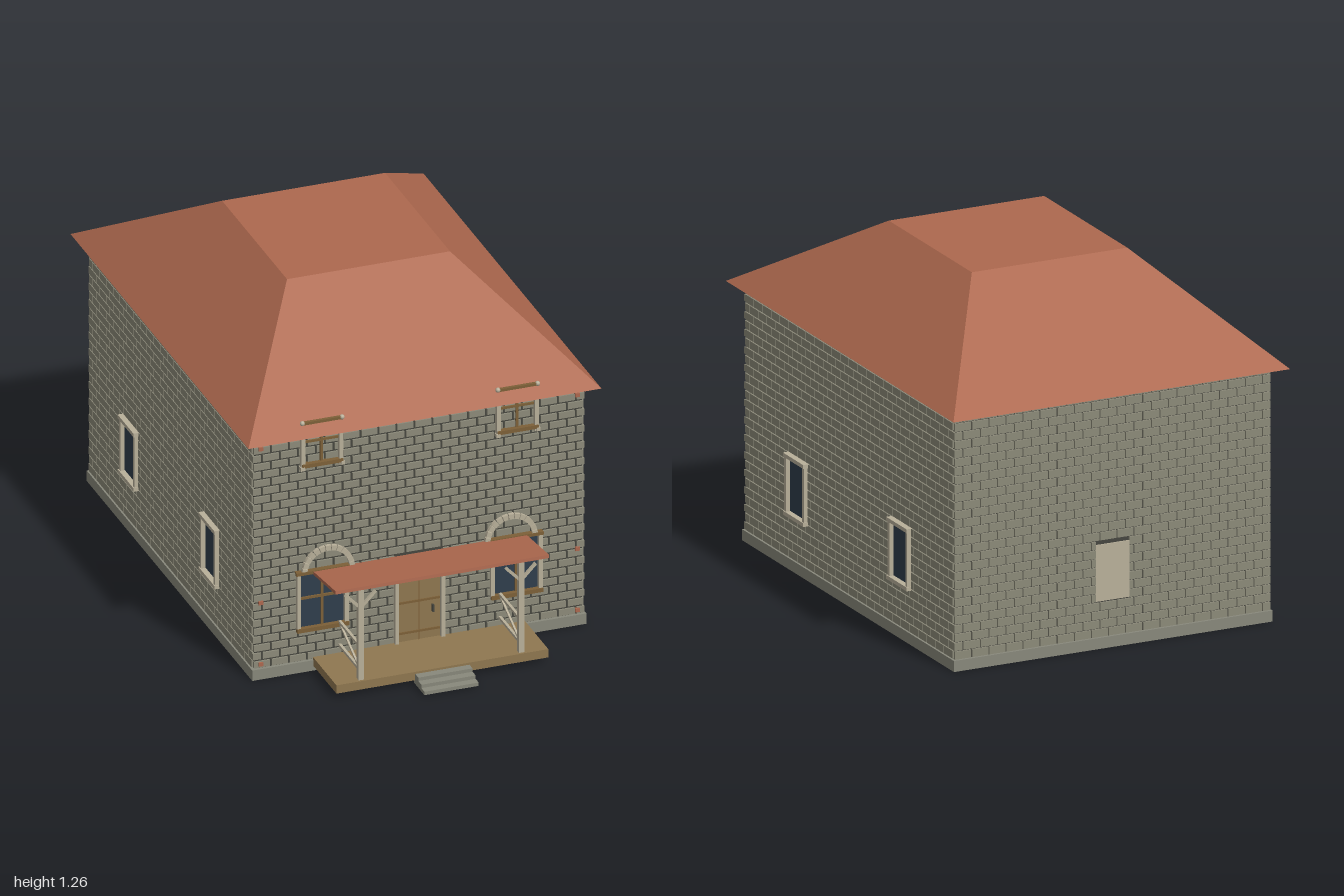
import * as THREE from 'three';
import { mergeGeometries } from 'three/addons/utils/BufferGeometryUtils.js';

const paint = (name, color) => {
  const m = new THREE.MeshStandardMaterial({ color });
  m.name = name;
  return m;
};

export function createModel() {
  const house = new THREE.Group();
  house.name = 'house';
  const brick = paint('stone brick', 0x8c8a79);
  const mortar = paint('dark mortar', 0x46463f);
  const plinth = paint('grey stone', 0x88887b);
  const cream = paint('pale trim', 0xb9b09a);
  const brown = paint('brown timber', 0x7d6038);
  const doorWood = paint('door wood', 0x8f7750);
  const glass = paint('dark glass', 0x2f3e4c);
  const red = paint('red roof', 0xad684e);

  // Box given by its extents
  const box = (name, mat, x0, x1, y0, y1, z0, z1, parent = house) => {
    const m = new THREE.Mesh(new THREE.BoxGeometry(x1 - x0, y1 - y0, z1 - z0), mat);
    m.position.set((x0 + x1) / 2, (y0 + y1) / 2, (z0 + z1) / 2);
    m.name = name;
    parent.add(m);
    return m;
  };
  // Square beam between two points
  const beam = (name, mat, a, b, t) => {
    const p = new THREE.Vector3(...a), q = new THREE.Vector3(...b);
    const m = new THREE.Mesh(new THREE.BoxGeometry(t, t, p.distanceTo(q)), mat);
    m.position.copy(p).lerp(q, 0.5);
    m.lookAt(q);
    m.name = name;
    house.add(m);
  };

  // Body and foundation
  const HX = 0.61, ZF = 0.68, ZB = -0.93, ZC = (ZF + ZB) / 2, D = 0.007;
  box('wallCore', mortar, -HX + D, HX - D, 0.02, 0.93, ZB + D, ZF - D);
  box('foundation', plinth, -0.615, 0.615, 0, 0.04, ZB - 0.005, ZF + 0.005);

  // One wall of running-bond bricks, cut around rectangular openings [u0, u1, y0, y1]
  function brickWall(name, half, length, gap, openings) {
    const rows = 28, y0 = 0.04, h = 0.89 / rows, parts = [];
    for (let r = 0; r < rows; r++) {
      const a = y0 + r * h + gap / 2, b = y0 + (r + 1) * h - gap / 2;
      for (let u = -half - (r % 2) * length / 2; u < half; u += length) {
        let spans = [[Math.max(u + gap / 2, -half), Math.min(u + length - gap / 2, half)]];
        for (const [o0, o1, p0, p1] of openings) {
          if (b <= p0 || a >= p1) continue;
          spans = spans.flatMap(([s, e]) => [[s, Math.min(e, o0)], [Math.max(s, o1), e]]);
        }
        for (const [s, e] of spans) {
          if (e - s < 0.004) continue;
          parts.push(new THREE.BoxGeometry(e - s, b - a, 0.01)
            .translate((s + e) / 2, (a + b) / 2, -0.005));
        }
      }
    }
    const g = new THREE.Group();
    g.name = name;
    const m = new THREE.Mesh(mergeGeometries(parts), brick);
    m.name = name + 'Bricks';
    g.add(m);
    house.add(g);
    return g;
  }
  const front = brickWall('frontWall', HX, 0.066, 0.008, [
    [-0.45, -0.265, 0.165, 0.385], [0.265, 0.45, 0.165, 0.385], [-0.09, 0.09, 0.04, 0.38]]);
  front.position.z = ZF;
  const back = brickWall('backWall', HX, 0.066, 0.004, [[-0.065, 0.065, 0.17, 0.375]]);
  back.position.z = ZB;
  back.rotation.y = Math.PI;
  box('backPanel', cream, -0.065, 0.065, 0.17, 0.375, -0.008, -0.002, back);

  // Side walls, each with two framed windows
  for (const s of [1, -1]) {
    const us = [0.27, -0.52].map(z => -s * (z - ZC));
    const wall = brickWall(s > 0 ? 'leftWall' : 'rightWall', 0.795, 0.066, 0.004,
      us.map(u => [u - 0.07, u + 0.07, 0.205, 0.41]));
    wall.position.set(s * HX, 0, ZC);
    wall.rotation.y = s * Math.PI / 2;
    for (const u of us) {
      box('sideGlass', glass, u - 0.065, u + 0.065, 0.21, 0.41, -0.008, -0.002, wall);
      for (const e of [-1, 1]) {
        const c = u + e * 0.068;
        box('sideWindowJamb', cream, c - 0.007, c + 0.007, 0.2, 0.415, -0.008, 0.014, wall);
        const y = e > 0 ? 0.413 : 0.202;
        box('sideWindowRail', cream, u - 0.078, u + 0.078, y - 0.007, y + 0.007, -0.008, 0.018, wall);
      }
    }
  }

  // Hipped roof with a flat top: a box whose upper corners are drawn in
  const roofGeo = new THREE.BoxGeometry(1.3, 0.33, 1.74).toNonIndexed();
  const pos = roofGeo.attributes.position;
  for (let i = 0; i < pos.count; i++) {
    if (pos.getY(i) < 0) continue;
    pos.setX(i, Math.sign(pos.getX(i)) * 0.3);
    pos.setZ(i, Math.sign(pos.getZ(i)) * 0.3175);
  }
  roofGeo.computeVertexNormals();
  const roof = new THREE.Mesh(roofGeo, red);
  roof.name = 'roof';
  roof.position.set(0, 1.095, -0.13);
  house.add(roof);

  for (const s of [-1, 1]) {
    // Ground floor window
    const x = s * 0.357, z = ZF;
    box('windowGlass', glass, x - 0.085, x + 0.085, 0.17, 0.385, z - 0.007, z - 0.002);
    for (const e of [-1, 1]) {
      const c = x + e * 0.088;
      box('windowJamb', cream, c - 0.007, c + 0.007, 0.16, 0.385, z - 0.007, z + 0.012);
    }
    box('windowSill', brown, x - 0.095, x + 0.095, 0.158, 0.173, z - 0.007, z + 0.016);
    box('windowLintel', brown, x - 0.098, x + 0.098, 0.378, 0.39, z - 0.007, z + 0.014);
    box('windowMullion', brown, x - 0.005, x + 0.005, 0.17, 0.38, z - 0.004, z + 0.004);
    box('windowCrossbar', brown, x - 0.083, x + 0.083, 0.28, 0.289, z - 0.004, z + 0.004);

    // Arch of wedge stones
    const n = 13;
    for (let i = 0; i < n; i++) {
      const a = Math.PI * (i + 0.06) / n, b = Math.PI * (i + 0.94) / n;
      const shape = new THREE.Shape();
      shape.absarc(0, 0, 0.097, a, b, false);
      shape.absarc(0, 0, 0.078, b, a, true);
      const stone = new THREE.Mesh(new THREE.ExtrudeGeometry(shape,
        { depth: 0.016, bevelEnabled: false, curveSegments: 2 }), cream);
      stone.name = 'archStone';
      stone.position.set(s * 0.337, 0.38, ZF - 0.003);
      house.add(stone);
    }

    // Upper window
    const u = s * 0.36;
    for (const e of [-1, 1]) {
      const c = u + e * 0.07;
      box('upperJamb', cream, c - 0.008, c + 0.008, 0.785, 0.955, z - 0.004, z + 0.014);
      box('upperSillEnd', cream, c + e * 0.004 - 0.007, c + e * 0.004 + 0.007, 0.785, 0.798, z, z + 0.02);
      const knob = new THREE.Mesh(new THREE.SphereGeometry(0.009, 10, 8), cream);
      knob.name = 'lintelKnob';
      knob.position.set(u + e * 0.073, 0.966, z + 0.011);
      house.add(knob);
    }
    box('upperSill', brown, u - 0.075, u + 0.075, 0.794, 0.808, z - 0.004, z + 0.018);
    box('upperLintel', brown, u - 0.073, u + 0.073, 0.96, 0.97, z + 0.004, z + 0.016);
    box('upperMullion', brown, u - 0.005, u + 0.005, 0.8, 0.93, z - 0.002, z + 0.006);
    box('upperCrossbar', brown, u - 0.065, u + 0.065, 0.885, 0.893, z - 0.002, z + 0.006);

    // Red wall anchors
    for (const y of [0.058, 0.295, 0.89]) {
      box('wallAnchor', red, s * 0.583 - 0.008, s * 0.583 + 0.008, y - 0.007, y + 0.007, z - 0.004, z + 0.006);
    }

    // Porch post, brace and side railing
    const px = s * 0.295;
    box('porchPost', cream, px - 0.01, px + 0.01, 0.05, 0.4, 0.882, 0.902);
    beam('porchBrace', cream, [px, 0.325, 0.892], [px - s * 0.055, 0.382, 0.892], 0.01);
    beam('porchBrace', cream, [px, 0.325, 0.892], [px + s * 0.055, 0.382, 0.892], 0.01);
    for (const y of [0.085, 0.175]) beam('porchRail', cream, [px, y, 0.69], [px, y, 0.885], 0.01);
    beam('railDiagonal', cream, [px, 0.09, 0.88], [px, 0.17, 0.69], 0.007);

    // Door frame post
    box('doorPost', cream, s * 0.085 - 0.007, s * 0.085 + 0.007, 0.05, 0.375, z - 0.007, z + 0.014);
  }

  // Door with raised rails, hinges and handle
  box('door', doorWood, -0.08, 0.08, 0.045, 0.375, ZF - 0.007, ZF);
  box('doorLintel', brown, -0.095, 0.095, 0.367, 0.38, ZF - 0.007, ZF + 0.014);
  box('doorSeam', brown, -0.002, 0.002, 0.05, 0.368, ZF - 0.002, ZF + 0.003);
  for (const y of [0.083, 0.2, 0.305]) box('doorRail', brown, -0.076, 0.076, y - 0.004, y + 0.004, ZF - 0.002, ZF + 0.004);
  box('doorHandle', mortar, 0.047, 0.053, 0.15, 0.178, ZF, ZF + 0.01);

  // Porch deck, steps and canopy rising outward
  box('porchDeck', doorWood, -0.39, 0.39, 0.018, 0.05, 0.68, 0.91);
  for (let i = 0; i < 3; i++) {
    box('step', plinth, -0.1, 0.1, 0.003 + i * 0.013, 0.016 + i * 0.013, 0.9, 1 - i * 0.03);
  }
  const canopy = box('porchCanopy', red, -0.393, 0.393, -0.006, 0.006, -0.114, 0.114);
  canopy.position.set(0, 0.394, 0.797);
  canopy.rotation.x = -0.125;

  return house;
}
